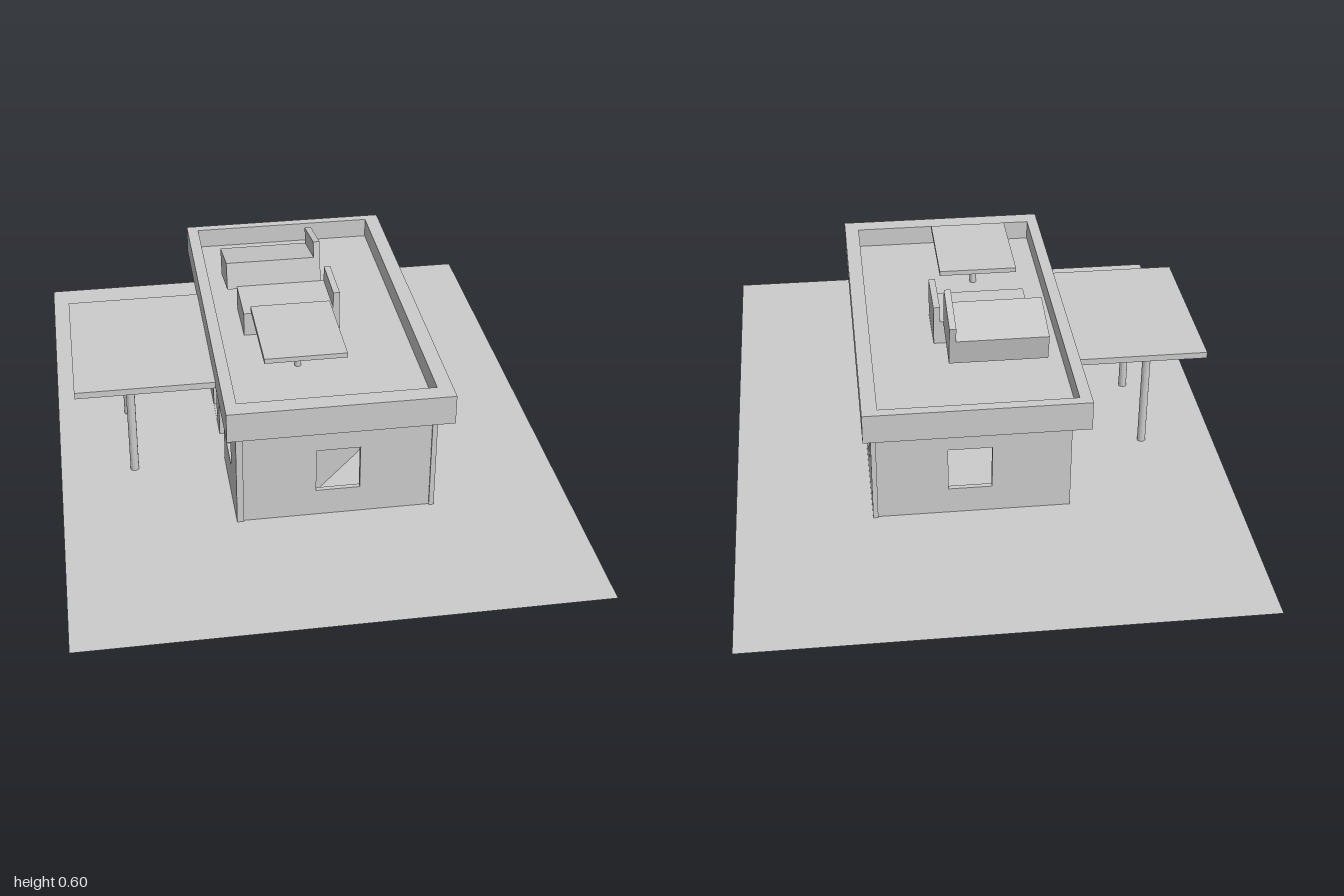
import * as THREE from 'three';

const grey = new THREE.MeshStandardMaterial({ color: 0xcccccc, flatShading: true });
const thin = new THREE.MeshStandardMaterial({ color: 0xcccccc, side: THREE.DoubleSide });

function add(parent, name, geometry, material = grey) {
  const mesh = new THREE.Mesh(geometry, material);
  mesh.name = name;
  parent.add(mesh);
  return mesh;
}

// Box given by its min and max on each axis
function box(parent, name, [x0, x1], [y0, y1], [z0, z1]) {
  const m = add(parent, name, new THREE.BoxGeometry(x1 - x0, y1 - y0, z1 - z0));
  m.position.set((x0 + x1) / 2, (y0 + y1) / 2, (z0 + z1) / 2);
  return m;
}

function post(parent, name, x, z, y0, y1, r) {
  const m = add(parent, name, new THREE.CylinderGeometry(r, r, y1 - y0, 12));
  m.position.set(x, (y0 + y1) / 2, z);
}

const outline = (Type, [u0, u1, v0, v1]) => new Type([
  new THREE.Vector2(u0, v0), new THREE.Vector2(u1, v0),
  new THREE.Vector2(u1, v1), new THREE.Vector2(u0, v1)]);

// Flat panel with rectangular openings; rectangles are [u0, u1, v0, v1]
function panel(parent, name, rect, holes, depth) {
  const shape = outline(THREE.Shape, rect);
  holes.forEach(h => shape.holes.push(outline(THREE.Path, h)));
  return add(parent, name, new THREE.ExtrudeGeometry(shape, { depth, bevelEnabled: false }));
}

// Lounger: a seat block with an upright headrest at its +x end
function lounger(parent, name, length, depth, seatH, backH) {
  const g = new THREE.Group();
  g.name = name;
  box(g, 'seat', [-length / 2, length / 2 - 0.02], [0, seatH], [-depth / 2, depth / 2]);
  box(g, 'backrest', [length / 2 - 0.02, length / 2], [0, backH], [-depth / 2, depth / 2]);
  parent.add(g);
  return g;
}

export function createModel() {
  const model = new THREE.Group();
  model.name = 'beachHouse';

  // Ground sheet
  const ground = add(model, 'ground', new THREE.PlaneGeometry(1.5, 2), thin);
  ground.rotation.x = -Math.PI / 2;
  ground.position.y = 0.03;

  // Front and back walls, one window each
  const endWindow = [-0.01, 0.12, 0.115, 0.255];
  for (const [name, z] of [['frontWall', 0.48], ['backWall', -0.45]]) {
    panel(model, name, [-0.23, 0.335, 0.03, 0.385], [endWindow], 0.015).position.z = z;
  }

  // Side walls: two windows on one side, windows and doorways on the porch side
  const windowWall = panel(model, 'windowWall', [-0.455, 0.5, 0.03, 0.385],
    [[-0.3, -0.145, 0.135, 0.275], [0.18, 0.34, 0.135, 0.275]], 0.015);
  windowWall.position.x = 0.345;
  const porchWall = panel(model, 'porchWall', [-0.45, 0.5, 0.02, 0.385], [
    [-0.3, -0.185, 0.16, 0.3], [-0.145, -0.05, 0.031, 0.31],
    [0.03, 0.17, 0.031, 0.31], [0.24, 0.36, 0.135, 0.3]], 0.02);
  porchWall.position.x = -0.225;
  windowWall.rotation.y = porchWall.rotation.y = -Math.PI / 2;

  // Roof terrace: deck inside a parapet ring
  box(model, 'roofDeck', [-0.245, 0.325], [0.385, 0.41], [-0.54, 0.545]);
  const parapet = panel(model, 'parapet', [-0.28, 0.37, -0.6, 0.57],
    [[-0.245, 0.325, -0.545, 0.54]], 0.09);
  parapet.rotation.x = -Math.PI / 2;
  parapet.position.y = 0.382;

  // Porch canopy on two posts
  box(model, 'canopy', [-0.69, -0.28], [0.38, 0.4], [-0.23, 0.31]);
  for (const z of [-0.14, 0.18]) post(model, 'canopyPost', -0.525, z, 0.022, 0.38, 0.013);

  // Terrace table
  box(model, 'tableTop', [-0.15, 0.09], [0.52, 0.535], [0.115, 0.425]);
  post(model, 'tableLeg', -0.03, 0.265, 0.41, 0.52, 0.01);

  // Terrace loungers, one of them tipped backward
  lounger(model, 'lounger', 0.295, 0.175, 0.075, 0.125).position.set(-0.018, 0.41, -0.018);
  const tipped = lounger(model, 'tippedLounger', 0.295, 0.175, 0.085, 0.135);
  tipped.position.set(-0.048, 0.46, -0.19);
  tipped.rotation.x = -0.2;

  // Slanted chest standing askew indoors
  const chest = add(model, 'chest', new THREE.BoxGeometry(0.33, 0.18, 0.12));
  chest.rotation.set(0, 0.85, 0.08, 'YXZ');
  chest.position.set(0.03, 0.11, 0.265);

  return model;
}
